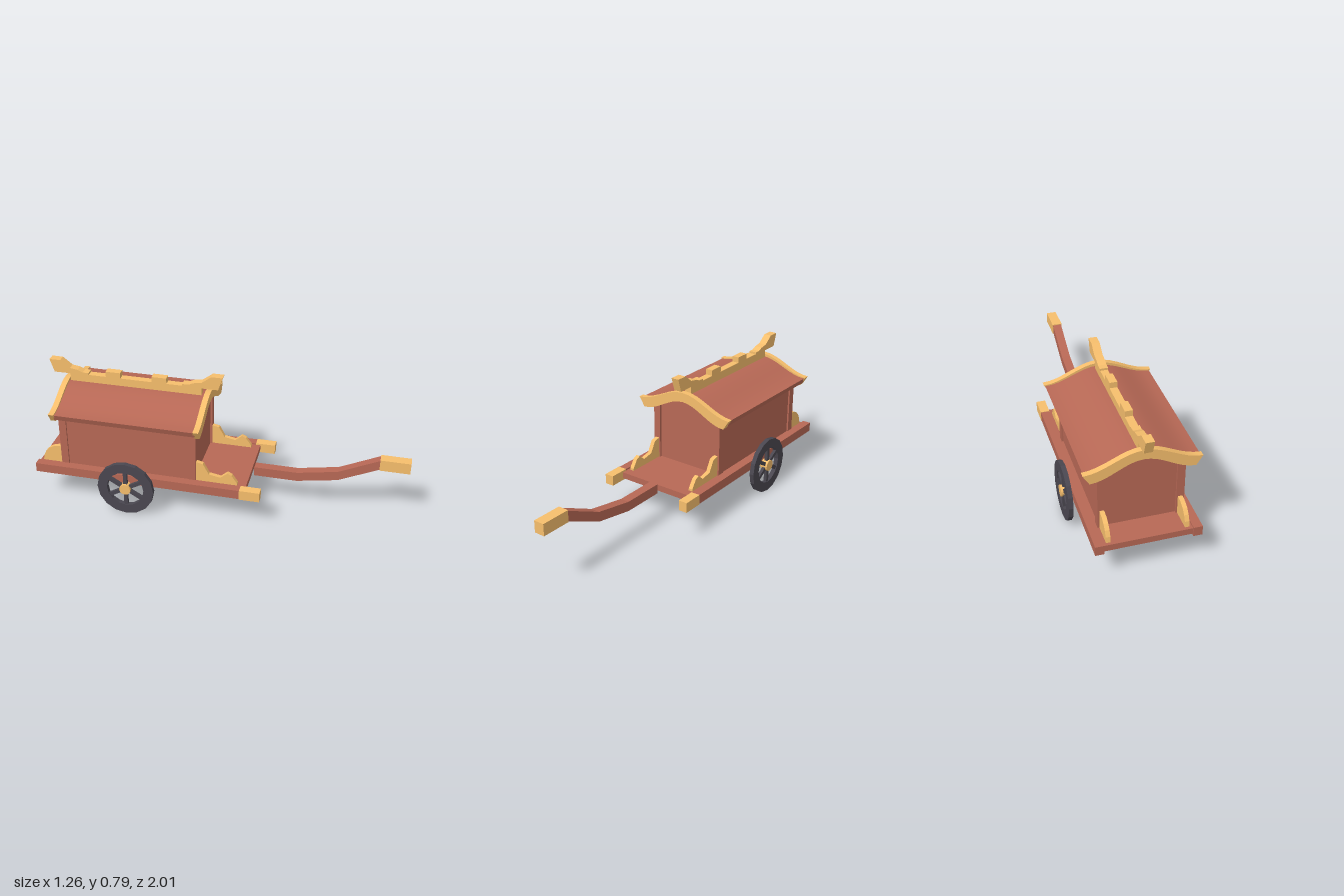
import * as THREE from 'three';
import { toCreasedNormals } from 'three/addons/utils/BufferGeometryUtils.js';

const mat = (color) => new THREE.MeshStandardMaterial({ color });
const RED = mat(0xb76855), GOLD = mat(0xf6be6c), DARK = mat(0x4a4750), STEEL = mat(0xb8b8b8);

export function createModel() {
  const model = new THREE.Group();
  const cart = new THREE.Group();
  cart.name = 'cart';
  // the cart stands turned on the ground
  cart.rotation.y = 0.489;
  cart.position.set(0.0625, 0, -0.032);
  model.add(cart);

  const add = (name, geometry, material, parent = cart) => {
    const mesh = new THREE.Mesh(geometry, material);
    mesh.name = name;
    parent.add(mesh);
    return mesh;
  };
  // box given by its min and max on each axis
  const box = (name, material, x0, x1, y0, y1, z0, z1) => {
    const mesh = add(name, new THREE.BoxGeometry(x1 - x0, y1 - y0, z1 - z0), material);
    mesh.position.set((x0 + x1) / 2, (y0 + y1) / 2, (z0 + z1) / 2);
  };
  const extrude = (points, depth) => {
    const shape = new THREE.Shape(points.map(([x, y]) => new THREE.Vector2(x, y)));
    return new THREE.ExtrudeGeometry(shape, { depth, bevelEnabled: false });
  };
  // side profile in (z, y), centred on x and given a width
  const plate = (name, material, points, width, x = 0) => {
    const geometry = extrude(points, width).translate(0, 0, -width / 2).rotateY(-Math.PI / 2);
    add(name, geometry, material).position.x = x;
  };

  // Bed and its two side beams with gold tips
  box('bed', RED, -0.235, 0.235, 0.19, 0.226, -0.947, 0.272);
  for (const s of [-1, 1]) {
    const beam = (name, m, z0, z1, e) =>
      box(name, m, s * 0.255 - 0.024 - e, s * 0.255 + 0.024 + e, 0.18 - e, 0.234 + e, z0, z1);
    beam('sideBeam', RED, -0.955, 0.25, 0);
    beam('beamTip', GOLD, 0.245, 0.36, 0.002);
  }

  // Tongue with gold end
  plate('tongue', RED, [
    [0.283, 0.18], [0.53, 0.18], [0.76, 0.222], [0.99, 0.33],
    [0.99, 0.388], [0.76, 0.278], [0.53, 0.235], [0.283, 0.235],
  ], 0.052);
  box('tongueEnd', GOLD, -0.03, 0.03, 0.325, 0.391, 0.985, 1.153);

  // Roof curve: height of the roof line at t = 0 (ridge) to 1 (eave)
  const roofY = (t, eave, rise) => eave + (rise / 2) * (1 + Math.cos(Math.PI * t));
  const roofBand = (half, eave, rise, thick, inset) => {
    const top = [], bottom = [];
    for (let i = -8; i <= 8; i++) {
      const t = i / 8, y = roofY(Math.abs(t), eave, rise);
      top.push([t * half, y]);
      bottom.unshift([t * half * inset, y - thick]);
    }
    return [...top, ...bottom].reverse();
  };
  const across = (name, material, points, z0, z1) =>
    add(name, toCreasedNormals(extrude(points, z1 - z0).translate(0, 0, z0), 0.5), material);

  // Cabin with a top that follows the roof, and corner posts
  const cabin = [[-0.217, 0.22], [0.217, 0.22]];
  for (let i = 4; i >= -4; i--) {
    const x = (i / 4) * 0.217;
    cabin.push([x, roofY(Math.abs(x) / 0.297, 0.555, 0.08)]);
  }
  across('cabin', RED, cabin, -0.8, -0.027);
  for (const s of [-1, 1]) for (const z of [-0.812, -0.057]) {
    const x = s * 0.206;
    box('cornerPost', RED, x - 0.021, x + 0.021, 0.22, 0.565, z, z + 0.043);
  }

  // Roof and the gold boards on its two ends
  across('roof', RED, roofBand(0.297, 0.582, 0.083, 0.033, 0.96), -0.81, -0.005);
  const gable = roofBand(0.305, 0.588, 0.093, 0.054, 0.89);
  across('frontGableBoard', GOLD, gable, -0.012, 0.02);
  across('backGableBoard', GOLD, gable, -0.837, -0.805);

  // Ridge beam, blocks and upturned ends
  box('ridgeBeam', GOLD, -0.021, 0.021, 0.66, 0.71, -0.8, -0.03);
  for (const z of [-0.545, -0.275]) {
    box('ridgeBlock', GOLD, -0.021, 0.021, 0.705, 0.743, z - 0.043, z + 0.043);
  }
  const horn = [
    [-0.14, 0.708], [0.065, 0.708], [0.09, 0.785], [0.026, 0.785],
    [-0.03, 0.742], [-0.075, 0.735], [-0.105, 0.722], [-0.14, 0.722],
  ];
  plate('frontRidgeHorn', GOLD, horn, 0.046);
  plate('backRidgeHorn', GOLD, horn.map(([z, y]) => [-0.83 - z, y]).reverse(), 0.046);

  // Brackets on the bed before and behind the cabin
  for (const s of [-1, 1]) {
    plate('frontBracket', GOLD, [
      [-0.016, 0.224], [0.222, 0.224], [0.222, 0.238], [0.19, 0.285], [0.165, 0.297],
      [0.125, 0.263], [0.06, 0.275], [0.025, 0.338], [-0.016, 0.347],
    ], 0.024, s * 0.205);
    const curve = [[-0.8, 0.224], [-0.8, 0.333]];
    for (let i = 0; i <= 5; i++) {
      const a = (i / 5) * Math.PI / 2;
      curve.push([-0.825 - 0.105 * Math.sin(a), 0.224 + 0.109 * Math.cos(a)]);
    }
    plate('backBracket', GOLD, curve, 0.024, s * 0.205);
  }

  // Axle and spoked wheels
  const axle = add('axle', new THREE.CylinderGeometry(0.0125, 0.0125, 0.6, 10).rotateZ(Math.PI / 2), STEEL);
  axle.position.set(0, 0.165, -0.405);
  const rim = new THREE.Shape().absarc(0, 0, 0.165, 0, Math.PI * 2);
  rim.holes.push(new THREE.Path().absarc(0, 0, 0.108, 0, Math.PI * 2, true));
  const rimGeometry = new THREE.ExtrudeGeometry(rim, { depth: 0.026, bevelEnabled: false, curveSegments: 8 })
    .translate(0, 0, -0.013).rotateY(Math.PI / 2);
  for (const s of [-1, 1]) {
    const wheel = new THREE.Group();
    wheel.name = s > 0 ? 'leftWheel' : 'rightWheel';
    wheel.position.set(s * 0.302, 0.165, -0.405);
    cart.add(wheel);
    add('rim', rimGeometry, DARK, wheel);
    for (let i = 0; i < 6; i++) {
      const spoke = add('spoke', new THREE.BoxGeometry(0.018, 0.1, 0.022).translate(0, 0.07, 0), DARK, wheel);
      spoke.rotation.x = (i * Math.PI) / 3;
    }
    add('hub', new THREE.CylinderGeometry(0.033, 0.033, 0.042, 12).rotateZ(Math.PI / 2), GOLD, wheel);
    const collar = add('hubCollar', new THREE.CylinderGeometry(0.02, 0.02, 0.02, 12).rotateZ(Math.PI / 2), GOLD, wheel);
    collar.position.x = -s * 0.028;
  }
  return model;
}
